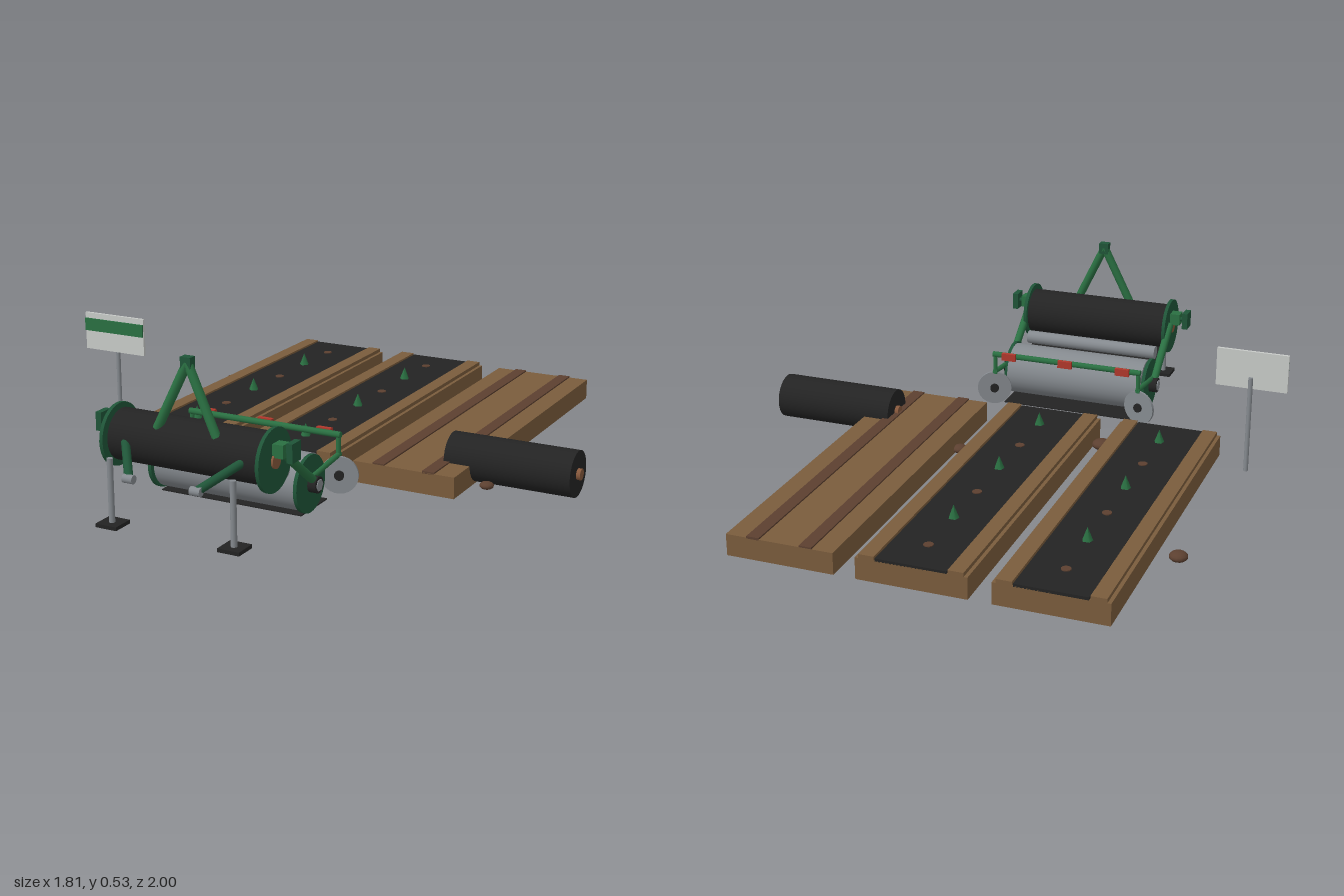
import * as THREE from 'three';

const paint = (name, color, side = THREE.FrontSide) => {
  const m = new THREE.MeshStandardMaterial({ color, side });
  m.name = name;
  return m;
};

export function createModel() {
  const soil = paint('soil', 0x7a5c3c);
  const darkSoil = paint('dark soil', 0x5c4030);
  const film = paint('black film', 0x232323);
  const sheetTop = film;
  const green = paint('frame green', 0x2a7042);
  const darkGreen = paint('dark green', 0x1f5538);
  const steel = paint('steel', 0x858a8f);
  const pale = paint('pale grey', 0xc8cbc8);
  const red = paint('red', 0xb0382c);
  const core = paint('cardboard', 0x86583c);

  const model = new THREE.Group();
  model.name = 'mulchLayerField';
  const CX = -0.06; // machine centre line
  const machine = new THREE.Group();
  machine.name = 'mulchLayer';
  machine.position.x = CX;
  model.add(machine);

  const put = (parent, name, geo, mat, x = 0, y = 0, z = 0) => {
    const m = new THREE.Mesh(geo, mat);
    m.name = name;
    m.position.set(x, y, z);
    parent.add(m);
    return m;
  };
  const box = (p, name, mat, w, h, d, x, y, z) =>
    put(p, name, new THREE.BoxGeometry(w, h, d), mat, x, y, z);
  // Cylinder lying along x
  const roller = (p, name, mat, r, len, x, y, z, sides = 28) =>
    put(p, name, new THREE.CylinderGeometry(r, r, len, sides).rotateZ(Math.PI / 2), mat, x, y, z);
  // Round bar between two points
  const rod = (p, name, mat, r, a, b, sides = 10) => {
    const A = new THREE.Vector3(...a), B = new THREE.Vector3(...b);
    const dir = B.clone().sub(A);
    const m = put(p, name, new THREE.CylinderGeometry(r, r, dir.length(), sides), mat);
    m.position.copy(A).add(B).multiplyScalar(0.5);
    m.quaternion.setFromUnitVectors(new THREE.Vector3(0, 1, 0), dir.normalize());
    return m;
  };

  // Raised soil beds, two covered with film and planted
  [-0.4925, -0.06, 0.37].forEach((x, i) => {
    box(model, 'soilBed', soil, 0.358, 0.072, 1.25, x, 0.036, -0.375);
    if (i < 2) {
      box(model, 'bedFilm', film, 0.228, 0.01, 1.25, x, 0.075, -0.375);
      for (const s of [-1, 1])
        box(model, 'soilRidge', soil, 0.05, 0.022, 1.25, x + s * 0.142, 0.074, -0.375);
      for (let k = 0; k < 3; k++) {
        put(model, 'plantHole', new THREE.CylinderGeometry(0.016, 0.016, 0.004, 12), darkSoil,
          x, 0.081, -0.865 + k * 0.39);
        put(model, 'seedling', new THREE.ConeGeometry(0.018, 0.045, 5), green,
          x, 0.102, -0.67 + k * 0.39);
      }
    } else {
      for (const s of [-1, 1])
        box(model, 'furrow', darkSoil, 0.042, 0.008, 1.25, x + s * 0.088, 0.073, -0.375);
    }
  });

  // Loose clods
  for (const [x, z, r] of [[-0.745, -0.555, 0.03], [-0.275, 0.155, 0.034], [0.175, -0.045, 0.027], [0.605, 0.115, 0.024]]) {
    const c = put(model, 'clod', new THREE.SphereGeometry(r, 12, 8), darkSoil, x, r * 0.55, z);
    c.scale.y = 0.55;
  }

  // Spare film roll
  roller(model, 'spareRoll', film, 0.077, 0.43, 0.673, 0.078, 0.051);
  roller(model, 'spareRollCore', core, 0.019, 0.456, 0.673, 0.078, 0.051, 16);

  // Sign
  put(model, 'signPost', new THREE.CylinderGeometry(0.008, 0.008, 0.337, 10), steel, -0.785, 0.168, 0.158);
  box(model, 'signBoard', pale, 0.242, 0.131, 0.01, -0.787, 0.361, 0.168);
  box(model, 'signStripe', green, 0.24, 0.044, 0.006, -0.787, 0.385, 0.176);

  // Rollers
  roller(machine, 'filmRoll', film, 0.082, 0.53, 0, 0.246, 0.797);
  roller(machine, 'filmRollCore', core, 0.025, 0.57, 0, 0.246, 0.805, 16);
  roller(machine, 'guideRoller', steel, 0.024, 0.5, 0, 0.175, 0.69, 16);
  roller(machine, 'pressRoller', steel, 0.092, 0.51, 0, 0.097, 0.558);

  // Film path, given as thin strips between (y, z) points
  const strip = (name, y0, z0, y1, z1, mat) => {
    const h = 0.255;
    const g = new THREE.BufferGeometry();
    g.setAttribute('position', new THREE.Float32BufferAttribute(
      [-h, y0, z0, h, y0, z0, h, y1, z1, -h, y1, z1], 3));
    g.setIndex([0, 1, 2, 0, 2, 3]);
    g.computeVertexNormals();
    put(machine, name, g, mat);
  };
  const bothSides = paint('black film', 0x232323, THREE.DoubleSide);
  strip('filmFeed', 0.165, 0.8, 0.137, 0.745, bothSides);
  strip('filmSlope', 0.137, 0.745, 0.03, 0.61, sheetTop);
  box(machine, 'laidFilm', film, 0.51, 0.004, 0.17, 0, 0.002, 0.522);

  // Hitch frame
  box(machine, 'hitchHead', darkGreen, 0.035, 0.04, 0.028, 0, 0.513, 0.832);
  rod(machine, 'rearBar', green, 0.011, [-0.28, 0.205, 0.392], [0.28, 0.205, 0.392], 8);

  for (const s of [-1, 1]) {
    rod(machine, 'hitchArm', green, 0.015, [s * 0.104, 0.3, 0.845], [0, 0.515, 0.832]);
    // Lower links with ball ends
    rod(machine, 'lowerLink', darkGreen, 0.014, [s * 0.22, 0.258, 0.85], [s * 0.12, 0.182, 0.98]);
    roller(machine, 'linkEnd', steel, 0.014, 0.035, s * 0.117, 0.18, 0.984, 14);
    // Parking stands
    put(machine, 'standLeg', new THREE.CylinderGeometry(0.01, 0.01, 0.206, 10), steel, s * 0.215, 0.113, 0.94);
    box(machine, 'standFoot', film, 0.074, 0.012, 0.074, s * 0.215, 0.006, 0.937);
    // Film roll end plates and brackets
    roller(machine, 'rollEndPlate', darkGreen, 0.1, 0.012, s * 0.272, 0.246, 0.803, 32);
    box(machine, 'rollBracket', green, 0.036, 0.042, 0.042, s * 0.296, 0.28, 0.8);
    box(machine, 'rollHandle', darkGreen, 0.02, 0.06, 0.052, s * 0.336, 0.28, 0.797);
    roller(machine, 'handleShaft', darkGreen, 0.008, 0.04, s * 0.315, 0.28, 0.797, 8);
    // Side frame
    roller(machine, 'pressEndPlate', darkGreen, 0.093, 0.012, s * 0.263, 0.097, 0.57, 32);
    rod(machine, 'sideBeam', green, 0.014, [s * 0.28, 0.262, 0.77], [s * 0.28, 0.105, 0.565]);
    roller(machine, 'pressHub', film, 0.027, 0.03, s * 0.282, 0.097, 0.567, 14);
    roller(machine, 'pressAxle', steel, 0.02, 0.034, s * 0.283, 0.097, 0.567, 6);
    rod(machine, 'wheelArm', green, 0.009, [s * 0.272, 0.118, 0.58], [s * 0.272, 0.14, 0.385], 8);
    rod(machine, 'barPost', green, 0.008, [s * 0.272, 0.13, 0.392], [s * 0.272, 0.205, 0.392], 8);
    // Angled covering discs
    const disc = new THREE.Group();
    disc.name = 'coveringDisc';
    disc.position.set(s * 0.277, 0.073, 0.395);
    disc.rotation.y = s * 0.33;
    machine.add(disc);
    const lie = (r, len) => new THREE.CylinderGeometry(r, r, len, 24).rotateX(Math.PI / 2);
    put(disc, 'discBlade', lie(0.062, 0.01), steel);
    put(disc, 'discHub', lie(0.016, 0.026), film);
  }

  // Rear markers
  for (const x of [-0.215, 0, 0.215])
    box(machine, 'rearMarker', red, 0.052, 0.026, 0.014, x, 0.205, 0.379);

  return model;
}
